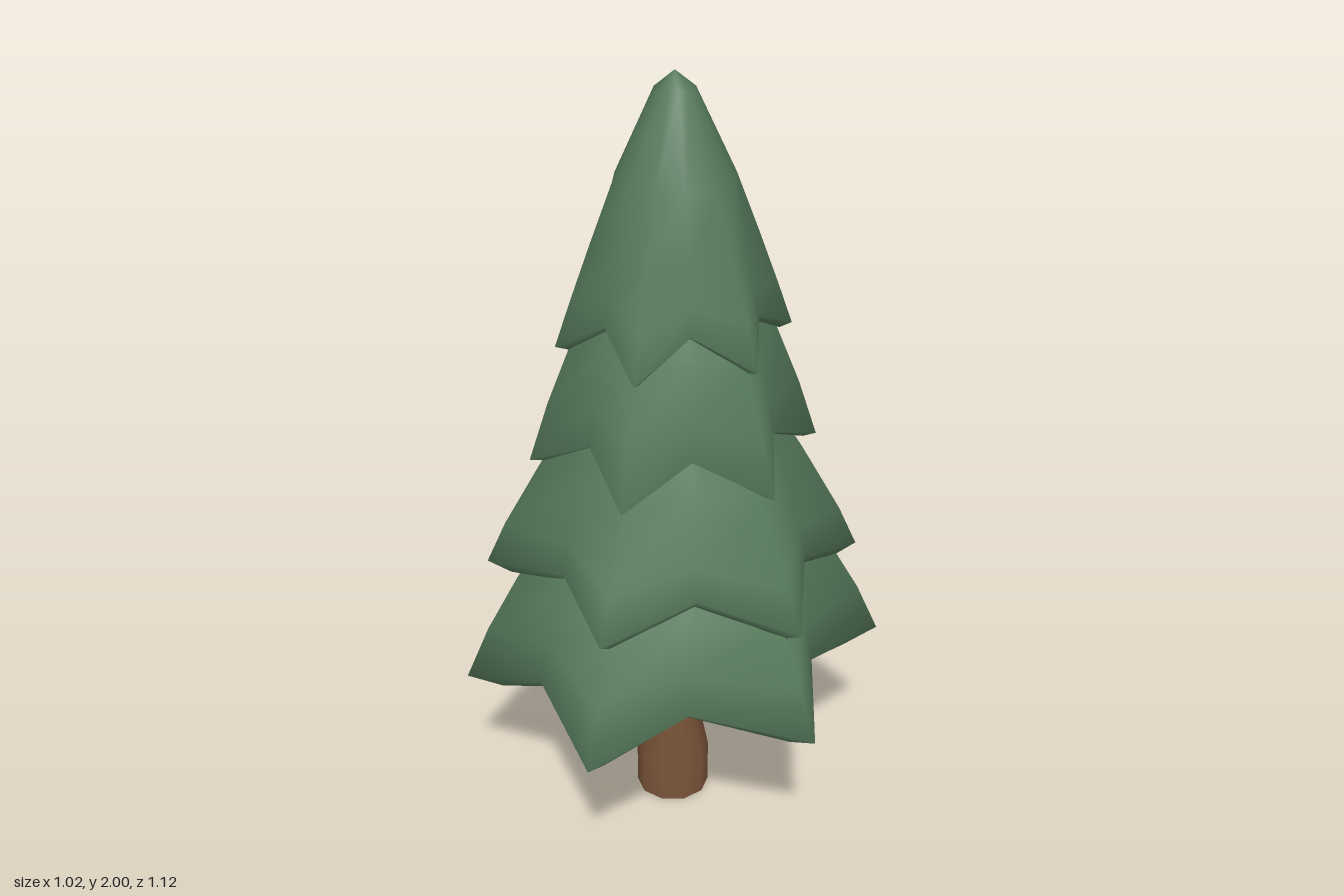
import * as THREE from 'three';

const SIDES = 12; // six points and six notches

// Surface through star-shaped rings; each ring is [tipY, notchY, tipRadius, notchRadius]
function starSurface(rings, turn, shift, [tiltX, tiltZ]) {
  const pos = [], index = [];
  rings.forEach(([tipY, notchY, tipR, notchR], j) => {
    for (let i = 0; i < SIDES; i++) {
      const a = i * Math.PI / 6 + turn, tip = i % 2 === 0;
      const r = tip ? tipR : notchR;
      const x = Math.sin(a) * r - (tip ? 0 : shift * r), z = Math.cos(a) * r;
      pos.push(x, tip ? tipY + tiltX * x + tiltZ * z : notchY, z);
      if (j === 0) continue;
      const k = (i + 1) % SIDES, lo = (j - 1) * SIDES, hi = j * SIDES;
      index.push(lo + i, lo + k, hi + k, lo + i, hi + k, hi + i);
    }
  });
  const g = new THREE.BufferGeometry();
  g.setAttribute('position', new THREE.Float32BufferAttribute(pos, 3));
  g.setIndex(index);
  g.computeVertexNormals();
  return g;
}

// Four tiers, bottom to top: the skin starts at the tucked-in lip, then the rim, then rises
const TIERS = [
  { name: 'bottomTier', turn: -0.087, shift: 0.055, tilt: [0.05, -0.01], ceiling: 0.57,
    skin: [[0.385, 0.46, 0.47, 0.355], [0.43, 0.5, 0.562, 0.41], [0.57, 0.6, 0.5, 0.385],
      [0.71, 0.72, 0.42, 0.36], [1, 1, 0.2, 0.2]] },
  { name: 'lowerTier', turn: -0.075, shift: 0, tilt: [-0.04, -0.015], ceiling: 0.86,
    skin: [[0.705, 0.77, 0.43, 0.325], [0.742, 0.8, 0.49, 0.355], [0.85, 0.88, 0.44, 0.335],
      [1.04, 1.05, 0.33, 0.285], [1.3, 1.3, 0.16, 0.16]] },
  { name: 'upperTier', turn: -0.05, shift: 0.02, tilt: [0, -0.04], ceiling: 1.18,
    skin: [[1.045, 1.125, 0.335, 0.24], [1.05, 1.13, 0.37, 0.265], [1.2, 1.22, 0.32, 0.25],
      [1.36, 1.37, 0.255, 0.22], [1.6, 1.6, 0.1, 0.1]] },
  { name: 'topTier', turn: -0.03, shift: 0.02, tilt: [0, -0.07], ceiling: 1.47,
    skin: [[1.345, 1.42, 0.265, 0.195], [1.355, 1.43, 0.297, 0.217], [1.46, 1.5, 0.26, 0.2],
      [1.6, 1.6, 0.208, 0.183], [1.75, 1.75, 0.15, 0.148], [1.96, 1.96, 0.05, 0.05], [2, 2, 0.001, 0.001]] },
];

export function createModel() {
  const tree = new THREE.Group();
  tree.name = 'pineTree';
  const green = new THREE.MeshStandardMaterial({ color: 0x56795a });
  green.name = 'needleGreen';
  const brown = new THREE.MeshStandardMaterial({ color: 0x795339 });
  brown.name = 'barkBrown';

  const add = (parent, name, geometry, material) => {
    const mesh = new THREE.Mesh(geometry, material);
    mesh.name = name;
    parent.add(mesh);
    return mesh;
  };

  // Foliage tiers, each an outer skin plus a shallow underside
  for (const { name, turn, shift, tilt, ceiling, skin } of TIERS) {
    const tier = new THREE.Group();
    tier.name = name;
    tree.add(tier);
    add(tier, name + 'Skin', starSurface(skin, turn, shift, tilt), green);
    const underside = [[ceiling, ceiling, 0.001, 0.001], skin[0]];
    add(tier, name + 'Underside', starSurface(underside, turn, shift, tilt), green);
  }

  // Trunk with a flared foot
  const profile = [[0.099, 0], [0.099, 0.12], [0.079, 0.22], [0.073, 0.45], [0.069, 0.62]]
    .map(([r, y]) => new THREE.Vector2(r, y));
  const trunk = add(tree, 'trunk', new THREE.LatheGeometry(profile, 10), brown);
  const base = add(tree, 'trunkBase', new THREE.CircleGeometry(0.099, 10), brown);
  base.rotation.set(Math.PI / 2, 0, Math.PI / 2);
  trunk.position.x = base.position.x = -0.006;

  return tree;
}
